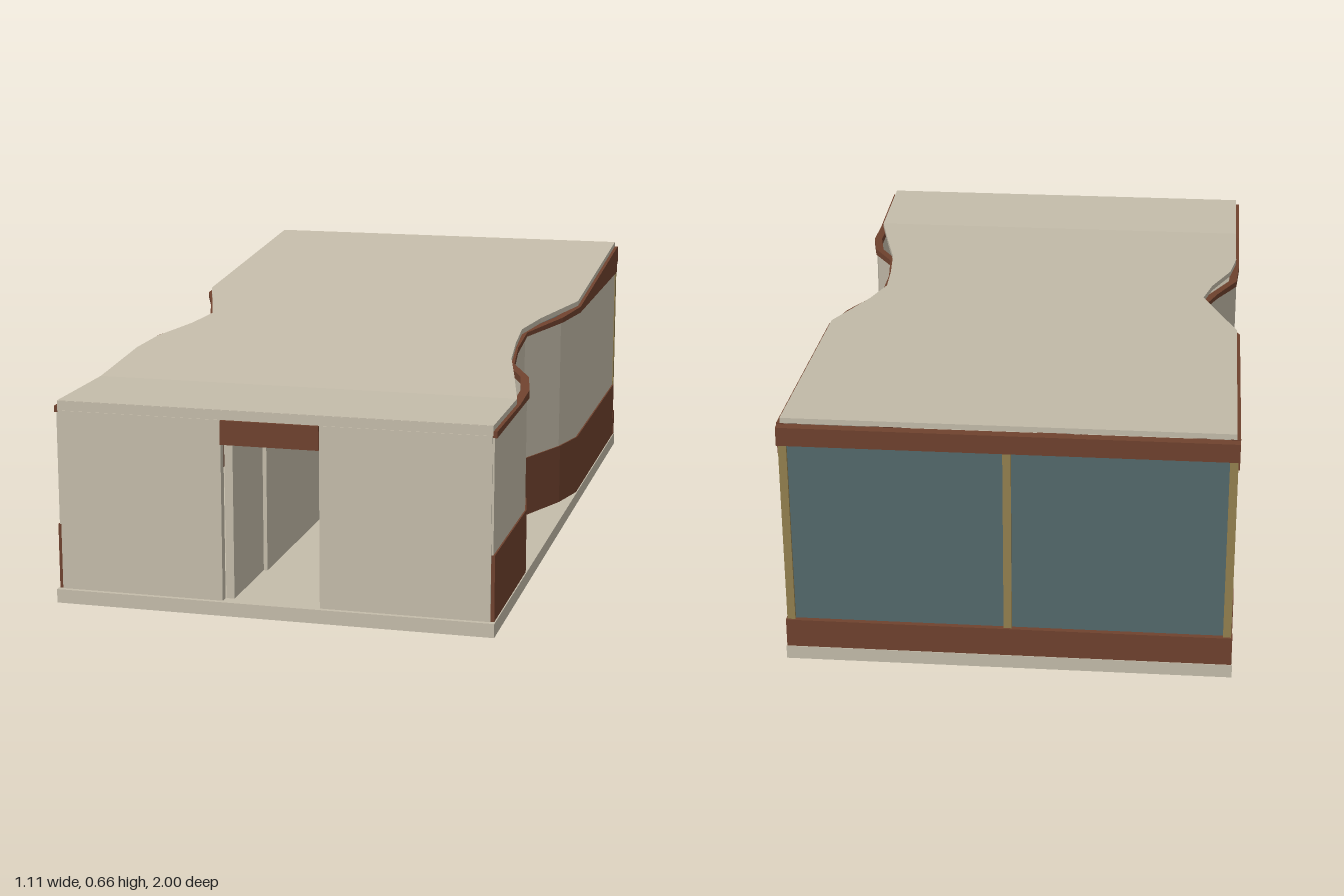
import * as THREE from 'three';

const flat = (name, color) => {
  const m = new THREE.MeshStandardMaterial({ color });
  m.name = name;
  return m;
};

// Piecewise linear lookup in [z, value] pairs sorted from front (+z) to back (-z)
function lookup(table, z, col = 1) {
  for (let i = 0; i < table.length - 1; i++) {
    const a = table[i], b = table[i + 1];
    if (z >= b[0]) return a[col] + (b[col] - a[col]) * Math.min(1, Math.max(0, (a[0] - z) / (a[0] - b[0])));
  }
  return table[table.length - 1][col];
}

// Solid lofted along z; section(z) gives [xMin, xMax, yMin, yMax]
function loft(stations, section) {
  const rings = stations.map((z) => {
    const [xa, xb, lo, hi] = section(z);
    return [[xa, lo, z], [xb, lo, z], [xb, hi, z], [xa, hi, z]];
  });
  const pos = [];
  const quad = (a, b, c, d) => pos.push(...a, ...b, ...c, ...a, ...c, ...d);
  for (let i = 0; i < rings.length - 1; i++) {
    const f = rings[i], r = rings[i + 1];
    for (let j = 0; j < 4; j++) {
      const k = (j + 1) % 4;
      quad(f[j], r[j], r[k], f[k]);
    }
  }
  const last = rings[rings.length - 1];
  quad(...rings[0]);
  quad(last[3], last[2], last[1], last[0]);
  const g = new THREE.BufferGeometry();
  g.setAttribute('position', new THREE.Float32BufferAttribute(pos, 3));
  g.computeVertexNormals();
  return g;
}

export function createModel() {
  const house = new THREE.Group();
  house.name = 'house';
  const plaster = flat('plaster', 0xc4bcaa);
  const wood = flat('brownWood', 0x6f422e);
  const glass = flat('glass', 0x54696c);
  const frame = flat('tanFrame', 0x94804f);

  const add = (name, geometry, material) => {
    const mesh = new THREE.Mesh(geometry, material);
    mesh.name = name;
    house.add(mesh);
  };
  // Box given by its limits
  const box = (name, material, x0, x1, y0, y1, z0, z1) => {
    const g = new THREE.BoxGeometry(x1 - x0, y1 - y0, z1 - z0);
    g.translate((x0 + x1) / 2, (y0 + y1) / 2, (z0 + z1) / 2);
    add(name, g, material);
  };

  // Outer wall lines in plan, and the roof outline
  const wallLeft = [[0.985, 0.548], [0.57, 0.548], [0.46, 0.527], [0.35, 0.468], [0.2, 0.45],
    [0.05, 0.447], [-0.12, 0.518], [-0.24, 0.548], [-0.98, 0.548]];
  const wallRight = [[0.985, 0.548], [0.4, 0.548], [0.25, 0.54], [0.13, 0.488], [0.04, 0.458],
    [-0.12, 0.508], [-0.22, 0.548], [-0.98, 0.548]];
  const roofLeft = [[0.985, 0.545], [0.69, 0.545], [0.5, 0.502], [0.35, 0.466], [0.2, 0.45],
    [0.07, 0.442], [-0.05, 0.472], [-0.25, 0.545], [-0.98, 0.545]];
  const roofRight = [[0.985, 0.545], [0.42, 0.545], [0.3, 0.528], [0.16, 0.477], [0.05, 0.453],
    [-0.1, 0.503], [-0.22, 0.545], [-0.98, 0.545]];
  const trimHeight = [[0.985, 0.485], [0.57, 0.49], [0.46, 0.503], [0.2, 0.528], [0.05, 0.545],
    [-0.12, 0.557], [-0.24, 0.565], [-0.98, 0.565]];
  const roofTop = (z) => 0.515 + Math.max(0, 0.69 - z) * 0.0868;
  const roofLow = (z) => roofTop(z) - 0.014;
  const sortZ = (...tables) =>
    [...new Set(tables.flat().map((p) => p[0]))].sort((a, b) => b - a);

  // Floor slab
  box('floorSlab', plaster, -0.555, 0.555, 0, 0.035, -1, 1);

  // Sloping roof with waisted sides
  add('roof', loft(sortZ(roofLeft, roofRight), (z) =>
    [-lookup(roofRight, z), lookup(roofLeft, z), roofLow(z), roofTop(z)]), plaster);

  // Wavy side walls: brown plinth, plaster band and brown fascia
  for (const [side, line, s] of [['left', wallLeft, 1], ['right', wallRight, -1]]) {
    const zs = sortZ(line, trimHeight, [[0.69]]);
    const band = (name, material, out, thick, lo, hi) => add(side + name, loft(zs, (z) => {
      const outer = s * (lookup(line, z) + out), inner = outer - s * thick;
      return [Math.min(outer, inner), Math.max(outer, inner), lo(z), hi(z)];
    }), material);
    const trim = (z) => lookup(trimHeight, z);
    band('Plinth', wood, 0.004, 0.02, () => 0.035, () => 0.2);
    band('Wall', plaster, 0, 0.016, () => 0.2, trim);
    band('Fascia', wood, 0.006, 0.022, trim, roofLow);
  }

  // Front wall around the doorway
  box('frontWallRight', plaster, -0.543, -0.125, 0.035, 0.49, 0.965, 0.988);
  box('frontWallLeft', plaster, 0.122, 0.543, 0.035, 0.49, 0.965, 0.988);
  box('frontRoofEdge', plaster, -0.545, 0.545, 0.49, 0.514, 0.965, 0.986);
  box('doorLintel', wood, -0.125, 0.122, 0.43, 0.49, 0.965, 0.993);

  // Glazed rear wall
  box('rearSill', wood, -0.553, 0.553, 0.035, 0.11, -0.998, -0.972);
  box('rearHeader', wood, -0.553, 0.553, 0.595, 0.643, -1, -0.976);
  box('rearGlass', glass, -0.545, 0.545, 0.11, 0.6, -0.985, -0.978);
  for (const x of [-0.54, 0, 0.54]) {
    box('rearMullion', frame, x - 0.01, x + 0.01, 0.11, 0.6, -0.993, -0.972);
  }

  // Entrance partition and furniture
  box('openDoor', plaster, -0.123, -0.102, 0.035, 0.43, 0.72, 0.965);
  box('partition', plaster, -0.105, -0.092, 0.035, 0.39, 0.15, 0.72);
  box('counter', plaster, -0.092, -0.012, 0.035, 0.283, -0.35, 0.1);
  box('counterTop', wood, -0.092, -0.012, 0.283, 0.29, -0.35, 0.1);
  box('lowCabinet', wood, 0.095, 0.2, 0.035, 0.12, -0.7, -0.3);

  return house;
}
